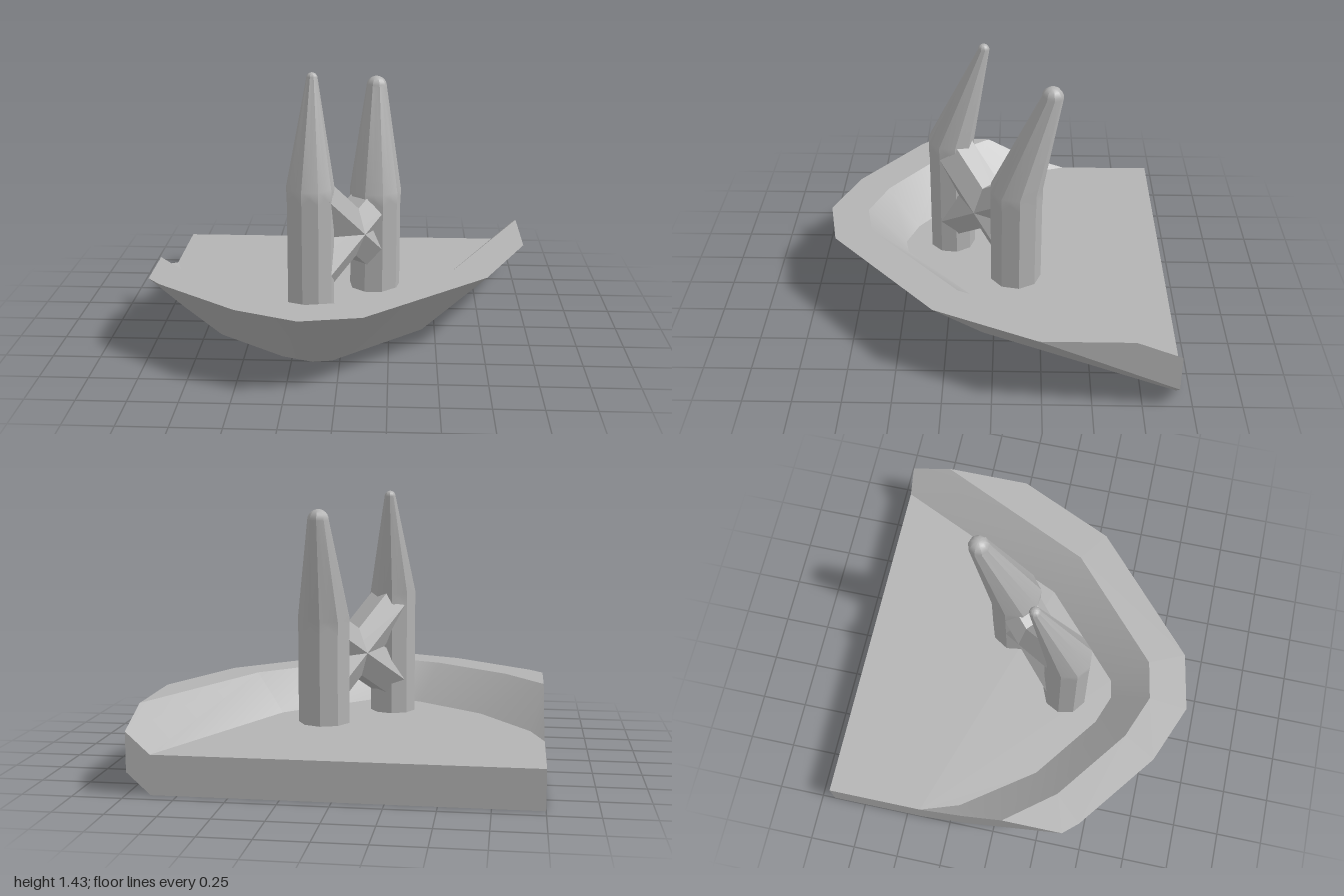
import * as THREE from 'three';
import { toCreasedNormals } from 'three/addons/utils/BufferGeometryUtils.js';

const stone = new THREE.MeshStandardMaterial({ color: 0xb3b3b3 });
stone.name = 'stone grey';
const CREASE = Math.PI / 6;

function part(name, geometry) {
  const mesh = new THREE.Mesh(geometry, stone);
  mesh.name = name;
  return mesh;
}

// Closed solid from planar polygons, each listed counter-clockwise from outside
function solid(polygons) {
  const pos = [];
  for (const p of polygons) {
    for (let i = 1; i < p.length - 1; i++) pos.push(...p[0], ...p[i], ...p[i + 1]);
  }
  const g = new THREE.BufferGeometry();
  g.setAttribute('position', new THREE.Float32BufferAttribute(pos, 3));
  return toCreasedNormals(g, CREASE);
}

// Dish with a sloping wall round the front, cut off flat at the sides and back
function basin() {
  const BACK = -0.93, T = 0.2, TOP = 0.4;
  // foot x, z and rim x, z, running from left to right across the front
  const stations = [
    [-0.66, 0.18, -0.93, 0.47], [-0.3, 0.45, -0.5, 0.8], [-0.14, 0.51, -0.18, 0.93],
    [-0.04, 0.49, 0.13, 0.87], [0.43, 0.06, 0.76, 0.3],
  ].map(([bx, bz, ox, oz]) => [
    [bx, 0, bz], [ox, TOP, oz], [(bx + ox) / 2, TOP, (bz + oz) / 2], [bx, T, bz],
  ]);
  const faces = [];
  for (let i = 0; i < stations.length - 1; i++) {
    const a = stations[i], b = stations[i + 1];
    for (let k = 0; k < 3; k++) faces.push([a[k], b[k], b[k + 1], a[k + 1]]);
  }
  const up = ([x, y, z]) => [x, y + T, z];

  // wall cut by the plane x = -1
  const [B1, O1, M1, F1] = stations[0];
  const B0 = [-0.93, 0, -0.2], BL = [-1, 0, -0.41], X = [-1, 0.08, -0.165];
  const OL = [-1, TOP, 0.39], ML = [-1, TOP, 0.06];
  faces.push(
    [B0, B1, O1, OL, X], [BL, B0, X], [OL, O1, M1, ML],
    [ML, M1, F1, up(B0), up(X)], [up(X), up(B0), up(BL)],
  );
  // wall cut by the plane x = 1
  const [B5, O5, M5, F5] = stations[4];
  const B6 = [0.88, 0, BACK], C = [1, 0.11, BACK];
  const OR = [1, TOP, -0.23], MR = [1, TOP, -0.7];
  faces.push([B5, B6, C, OR, O5], [O5, OR, MR, M5], [M5, MR, up(C), up(B6), F5]);

  // floor, underside and the flat cut faces
  const corner = [-1, 0, BACK];
  const foot = [BL, B0, ...stations.map((s) => s[0]), B6, corner];
  faces.push(foot.map(up), [...foot].reverse());
  faces.push([up(B6), up(C), C, B6, corner, up(corner)]);
  faces.push([C, up(C), MR, OR]);
  faces.push([up(corner), corner, BL, up(BL)], [up(X), up(BL), BL, X, OL, ML]);
  return part('basin', solid(faces));
}

// Nine-sided column with a backward-leaning spire on top
function tower(name, { x, z, r, top, turn, tipR, tipY, tipZ }) {
  const group = new THREE.Group();
  group.name = name;
  const h = top - 0.2;
  const column = new THREE.CylinderGeometry(r, r, h, 9, 1, false, turn);
  column.translate(x, 0.2 + h / 2, z);
  group.add(part('column', toCreasedNormals(column, CREASE)));

  const profile = [[r * 1.015, top], [r * 1.015, top + 0.035]];
  for (let i = 0; i <= 6; i++) {
    const a = (i / 6) * Math.PI / 2;
    profile.push([tipR * Math.cos(a), tipY + tipR * Math.sin(a)]);
  }
  const spire = new THREE.LatheGeometry(
    profile.map(([pr, py]) => new THREE.Vector2(pr, py)), 18, turn);
  const p = spire.attributes.position;
  const rows = profile.length;
  for (let i = 0; i < p.count; i++) {
    const row = i % rows, odd = Math.floor(i / rows) % 2;
    const k = odd ? Math.cos(Math.PI / 9) : 1; // flatten to nine sides
    const y = p.getY(i);
    const lean = Math.max(0, (y - top - 0.035) / (tipY - top - 0.035));
    const drop = row === 0 && !odd ? 0.035 : 0; // toothed lower edge
    p.setXYZ(i, x + p.getX(i) * k, y - drop, z + p.getZ(i) * k + (tipZ - z) * Math.min(lean, 1));
  }
  group.add(part('spire', toCreasedNormals(spire, CREASE)));
  return group;
}

// Six-sided bar in the plane between the towers, from (d, y) to (d, y)
function brace(name, d0, y0, d1, y1) {
  const along = new THREE.Vector3(0.676, 0, -0.737);
  const at = (d, y) => new THREE.Vector3(0, y, 0.065).addScaledVector(along, d);
  const a = at(d0, y0), b = at(d1, y1);
  const dir = b.clone().sub(a);
  const length = dir.length();
  dir.normalize();
  const side = new THREE.Vector3(0.737, 0, 0.676);
  const normal = new THREE.Vector3().crossVectors(dir, side);
  const g = new THREE.CylinderGeometry(0.12, 0.12, length, 6);
  g.applyMatrix4(new THREE.Matrix4().makeBasis(normal, dir, side).setPosition(a.add(b).multiplyScalar(0.5)));
  return part(name, toCreasedNormals(g, CREASE));
}

export function createModel() {
  const model = new THREE.Group();
  model.name = 'twin towers on a basin';
  model.add(
    basin(),
    tower('frontTower', { x: -0.165, z: 0.245, r: 0.125, top: 0.83, turn: 0.4, tipR: 0.03, tipY: 1.4, tipZ: 0.063 }),
    tower('backTower', { x: 0.165, z: -0.113, r: 0.14, top: 0.72, turn: 0.325, tipR: 0.057, tipY: 1.29, tipZ: -0.293 }),
    brace('fallingBrace', -0.22, 0.8, 0.24, 0.39),
    brace('risingBrace', -0.22, 0.39, 0.2, 0.667),
  );
  return model;
}
